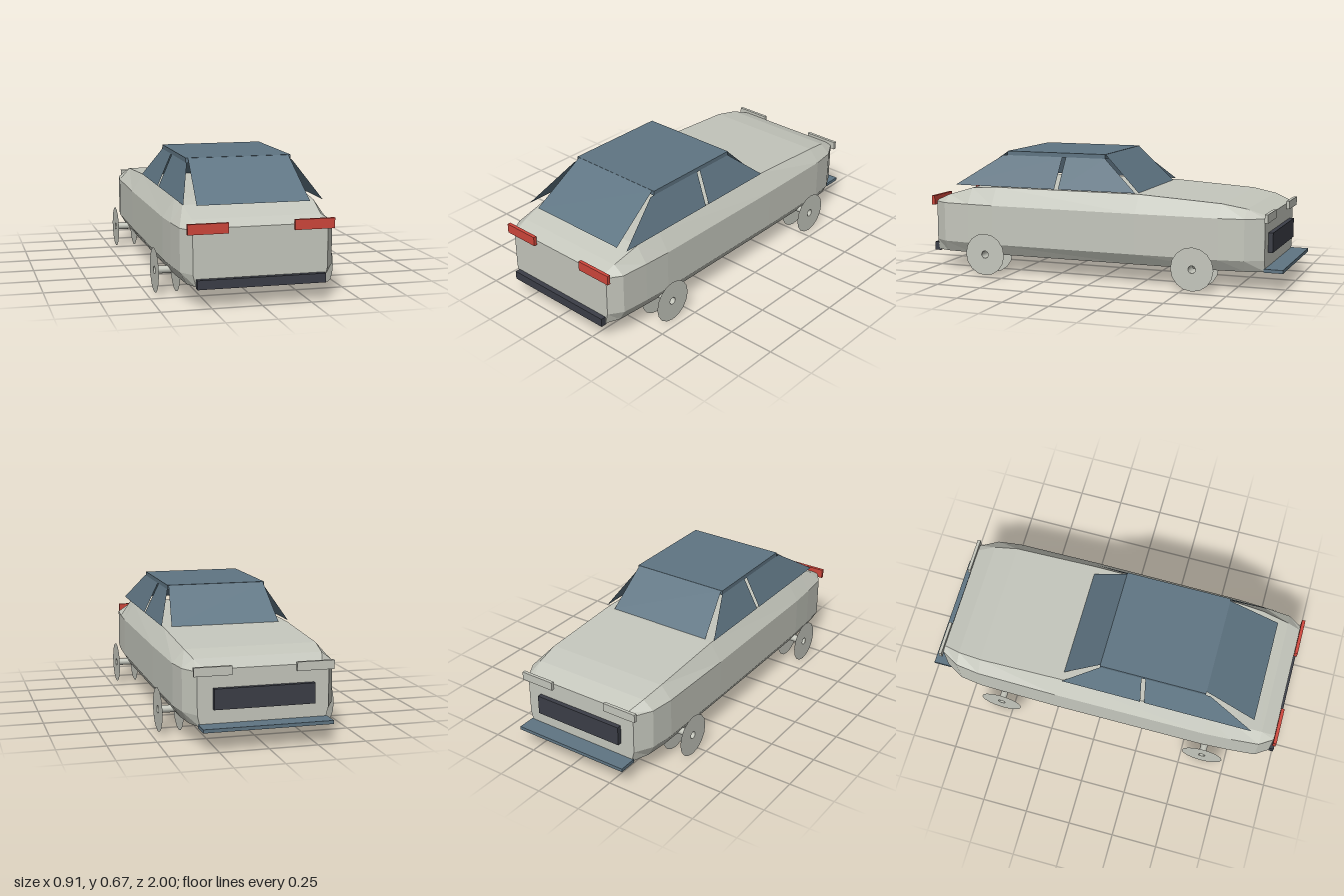
import * as THREE from 'three';

const paint = new THREE.MeshStandardMaterial({ color: 0xc5c7bd, side: THREE.DoubleSide });
const glass = new THREE.MeshStandardMaterial({ color: 0x5f7583, side: THREE.DoubleSide });
const trim = new THREE.MeshStandardMaterial({ color: 0x3b3e47 });
const tailRed = new THREE.MeshStandardMaterial({ color: 0xcf463b });
paint.name = 'paint';
glass.name = 'glass';
trim.name = 'darkTrim';
tailRed.name = 'tailRed';

function addMesh(parent, name, geometry, material) {
  const mesh = new THREE.Mesh(geometry, material);
  mesh.name = name;
  parent.add(mesh);
  return mesh;
}

// Box given by its limits on each axis
function addBox(parent, name, material, [x0, x1], [y0, y1], [z0, z1]) {
  const mesh = addMesh(parent, name, new THREE.BoxGeometry(x1 - x0, y1 - y0, z1 - z0), material);
  mesh.position.set((x0 + x1) / 2, (y0 + y1) / 2, (z0 + z1) / 2);
}

// Faceted geometry from triangles of [x, y, z] points
function faceted(points) {
  const g = new THREE.BufferGeometry();
  g.setAttribute('position', new THREE.Float32BufferAttribute(points.flat(), 3));
  g.computeVertexNormals();
  return g;
}

const quad = (a, b, c, d) => [a, b, c, a, c, d];

// Hull lofted through cross-sections along z
function bodyGeometry() {
  // z, half width at belt, half width at top, top height, half width at floor
  const stations = [
    [-0.905, 0.335, 0.30, 0.39, 0.32],
    [-0.81, 0.388, 0.33, 0.425, 0.355],
    [-0.68, 0.405, 0.345, 0.448, 0.368],
    [-0.23, 0.41, 0.345, 0.475, 0.37],
    [0.60, 0.406, 0.345, 0.475, 0.369],
    [0.75, 0.398, 0.338, 0.465, 0.362],
    [0.90, 0.385, 0.325, 0.42, 0.352],
    [0.972, 0.338, 0.315, 0.388, 0.322],
  ];
  const rings = stations.map(([z, belt, top, topY, floor]) => {
    const right = [[floor, 0.105, z], [belt, 0.165, z], [belt, 0.38, z], [top, topY, z]];
    const left = right.map(([x, y]) => [-x, y, z]).reverse();
    return [...right, ...left];
  });
  const pts = [];
  for (let i = 0; i + 1 < rings.length; i++) {
    const a = rings[i], b = rings[i + 1];
    for (let k = 0; k < 8; k++) {
      const n = (k + 1) % 8;
      pts.push(...quad(a[k], a[n], b[n], b[k]));
    }
  }
  // End caps
  const first = rings[0], last = rings[rings.length - 1];
  for (let k = 1; k < 7; k++) {
    pts.push(first[0], first[k + 1], first[k]);
    pts.push(last[0], last[k], last[k + 1]);
  }
  return faceted(pts);
}

export function createModel() {
  const car = new THREE.Group();
  car.name = 'car';
  addMesh(car, 'body', bodyGeometry(), paint);

  // Cabin: roof slab, sloped end windows, leaning side windows
  const cabin = new THREE.Group();
  cabin.name = 'cabin';
  car.add(cabin);
  addBox(cabin, 'roof', glass, [-0.277, 0.277], [0.645, 0.67], [-0.015, 0.56]);
  addMesh(cabin, 'rearWindow', faceted(quad(
    [-0.288, 0.475, 0.843], [0.288, 0.475, 0.843], [0.265, 0.669, 0.56], [-0.265, 0.669, 0.56])), glass);
  addMesh(cabin, 'windshield', faceted(quad(
    [0.30, 0.475, -0.213], [-0.30, 0.475, -0.213], [-0.27, 0.669, -0.015], [0.27, 0.669, -0.015])), glass);

  // Bottom and top z limits of each side window
  const sideWindows = {
    rearSideWindow: [0.25, 0.843, 0.585, 0.233],
    frontSideWindow: [-0.213, 0.228, 0.212, -0.015],
  };
  const wheelZ = { frontWheel: -0.555, rearWheel: 0.62 };

  for (const s of [1, -1]) {
    for (const [name, [z0, z1, z2, z3]] of Object.entries(sideWindows)) {
      const c = [[0.354, 0.48, z0], [0.354, 0.48, z1], [0.277, 0.647, z2], [0.277, 0.647, z3]]
        .map(([x, y, z]) => [s * x, y, z]);
      if (s > 0) c.reverse();
      addMesh(cabin, name, faceted(quad(...c)), glass);
    }

    // Wheels: two thin discs joined by an open hub tube
    for (const [name, z] of Object.entries(wheelZ)) {
      const wheel = new THREE.Group();
      wheel.name = name;
      wheel.position.set(s * 0.40, 0.117, z);
      wheel.rotation.y = s * Math.PI / 2;
      car.add(wheel);
      for (const side of [1, -1]) {
        const disc = addMesh(wheel, 'wheelDisc', new THREE.RingGeometry(0.02, 0.115, 16), paint);
        disc.position.z = side * 0.054;
        if (side < 0) disc.rotation.y = Math.PI;
      }
      const hub = addMesh(wheel, 'hub', new THREE.CylinderGeometry(0.02, 0.02, 0.108, 12, 1, true), paint);
      hub.rotation.x = Math.PI / 2;
    }

    // Lamps
    const lampX = [s * 0.165, s * 0.367].sort((a, b) => a - b);
    addBox(car, 'tailLight', tailRed, lampX, [0.362, 0.413], [0.972, 0.99]);
    const headX = [s * 0.165, s * 0.357].sort((a, b) => a - b);
    addBox(car, 'headlight', paint, headX, [0.36, 0.405], [-0.924, -0.907]);
  }

  // Bumper, grille and splitter
  addBox(car, 'rearBumper', trim, [-0.322, 0.322], [0.097, 0.143], [0.966, 1]);
  addBox(car, 'grille', trim, [-0.257, 0.257], [0.193, 0.297], [-0.93, -0.9]);
  addBox(car, 'splitter', glass, [-0.33, 0.33], [0.102, 0.12], [-1, -0.9]);
  return car;
}
